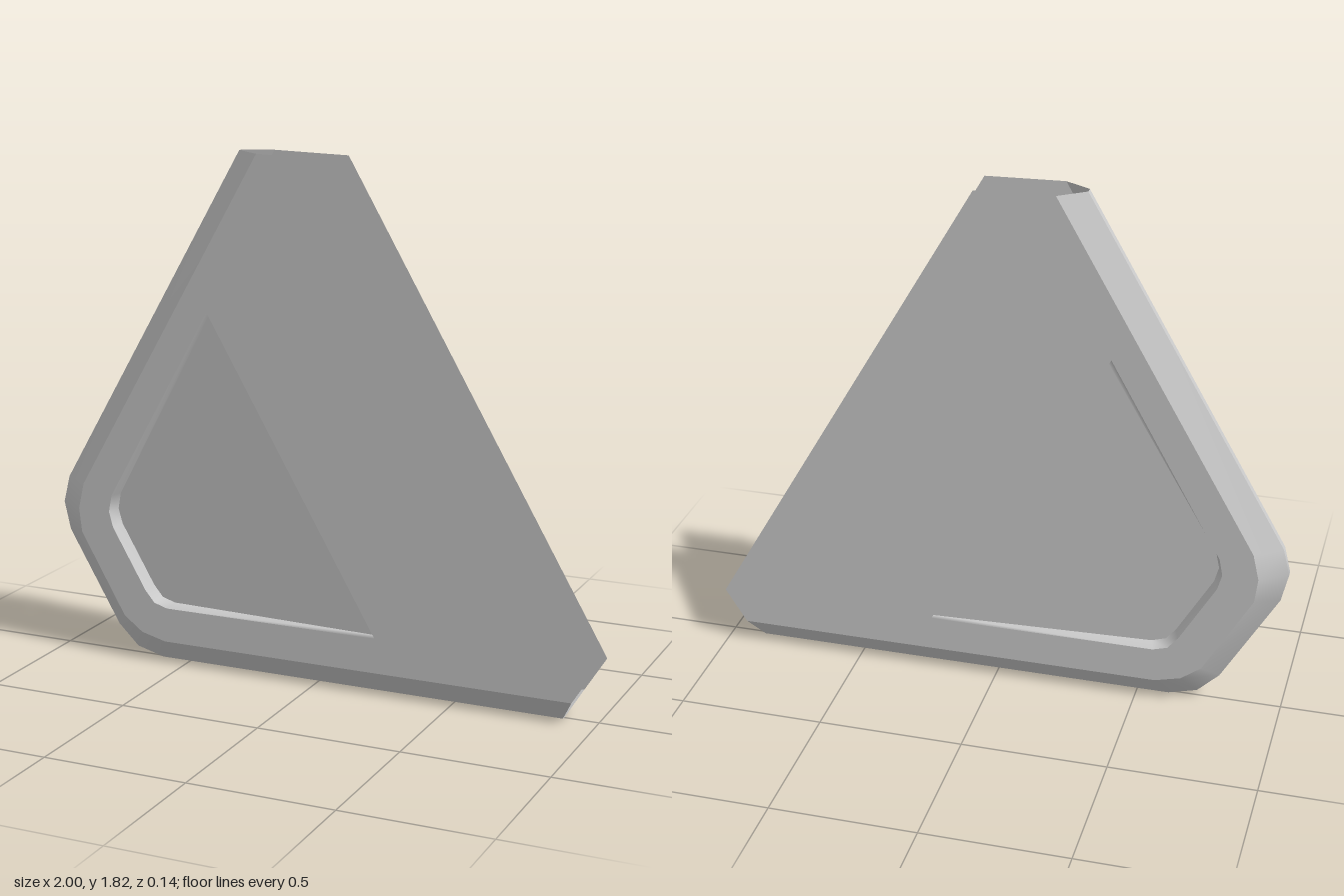
import * as THREE from 'three';

const HALF = 0.07;   // half thickness of the slab
const RIM = 0.012;   // half width of the narrow outer edge
const SLOPE_END = 0.3, SLOPE_START = -0.4, DEPTH = 0.038;

// Outlines run from the top, down around the rounded corner, to the bottom right
const outer = [[-0.29, 1.815], [-0.977, 0.625], [-1, 0.53], [-0.977, 0.43], [-0.785, 0.1],
  [-0.71, 0.027], [-0.61, 0], [0.88, 0]];
const inner = [[-0.2, 1.812], [-0.885, 0.622], [-0.906, 0.53], [-0.896, 0.444], [-0.73, 0.155],
  [-0.66, 0.103], [-0.57, 0.08], [0.925, 0.08]];
const recess = [[-0.39, 1.27], [-0.773, 0.59], [-0.785, 0.53], [-0.77, 0.475], [-0.645, 0.26],
  [-0.61, 0.218], [-0.56, 0.203], [0.23, 0.203]];

// Recess floor outline: drawn in slightly toward the middle of its open side
const mid = [(recess[0][0] + recess[7][0]) / 2, (recess[0][1] + recess[7][1]) / 2];
const floor = recess.map(p => p.map((v, i) => mid[i] + (v - mid[i]) * 0.975));

// The floor is a tilted plane, deepest at the rounded corner, flush near the long side
function floorZ(x, y) {
  const s = 0.866 * x + 0.5 * y;
  const k = (SLOPE_END - s) / (SLOPE_END - SLOPE_START);
  return HALF - DEPTH * Math.max(0, k);
}

const material = new THREE.MeshStandardMaterial({ color: 0xcccccc, side: THREE.DoubleSide });
const vec2 = pts => pts.map(([x, y]) => new THREE.Vector2(x, y));
const at = (pts, z) => pts.map(([x, y]) => [x, y, z]);

function part(name, geometry) {
  const mesh = new THREE.Mesh(geometry, material);
  mesh.name = name;
  return mesh;
}

// Band of quads between two outlines, smooth along its length
function strip(a, b) {
  const index = [];
  for (let i = 0; i < a.length - 1; i++) {
    const j = a.length + i;
    index.push(i, i + 1, j + 1, i, j + 1, j);
  }
  const geometry = new THREE.BufferGeometry();
  geometry.setAttribute('position', new THREE.Float32BufferAttribute([...a, ...b].flat(), 3));
  geometry.setIndex(index);
  geometry.computeVertexNormals();
  return geometry;
}

function createSide(name) {
  const side = new THREE.Group();
  side.name = name;

  // Flat face with the opening for the recess
  const face = new THREE.Shape(vec2([...inner, [1, 0.2], [0.07, 1.805]]));
  face.holes.push(new THREE.Path(vec2(recess)));
  side.add(part('flatFace', new THREE.ShapeGeometry(face).translate(0, 0, HALF)));

  // Sloping chamfer around the closed edges
  side.add(part('chamfer', strip(at(outer, RIM), at(inner, HALF))));

  // Tilted recess floor and the step leading down to it
  const panel = new THREE.ShapeGeometry(new THREE.Shape(vec2(floor)));
  const pos = panel.attributes.position;
  for (let i = 0; i < pos.count; i++) pos.setZ(i, floorZ(pos.getX(i), pos.getY(i)));
  panel.computeVertexNormals();
  side.add(part('recessFloor', panel));
  const low = floor.map(([x, y]) => [x, y, floorZ(x, y)]);
  side.add(part('recessStep', strip(at(recess, HALF), low)));
  return side;
}

export function createModel() {
  const model = new THREE.Group();
  model.name = 'hollowWedgePanel';
  const front = createSide('frontSide');
  const back = createSide('backSide');
  back.scale.z = -1;
  // Narrow edge joining the two sides; the long side and top stay open
  model.add(front, back, part('outerEdge', strip(at(outer, -RIM), at(outer, RIM))));
  return model;
}
